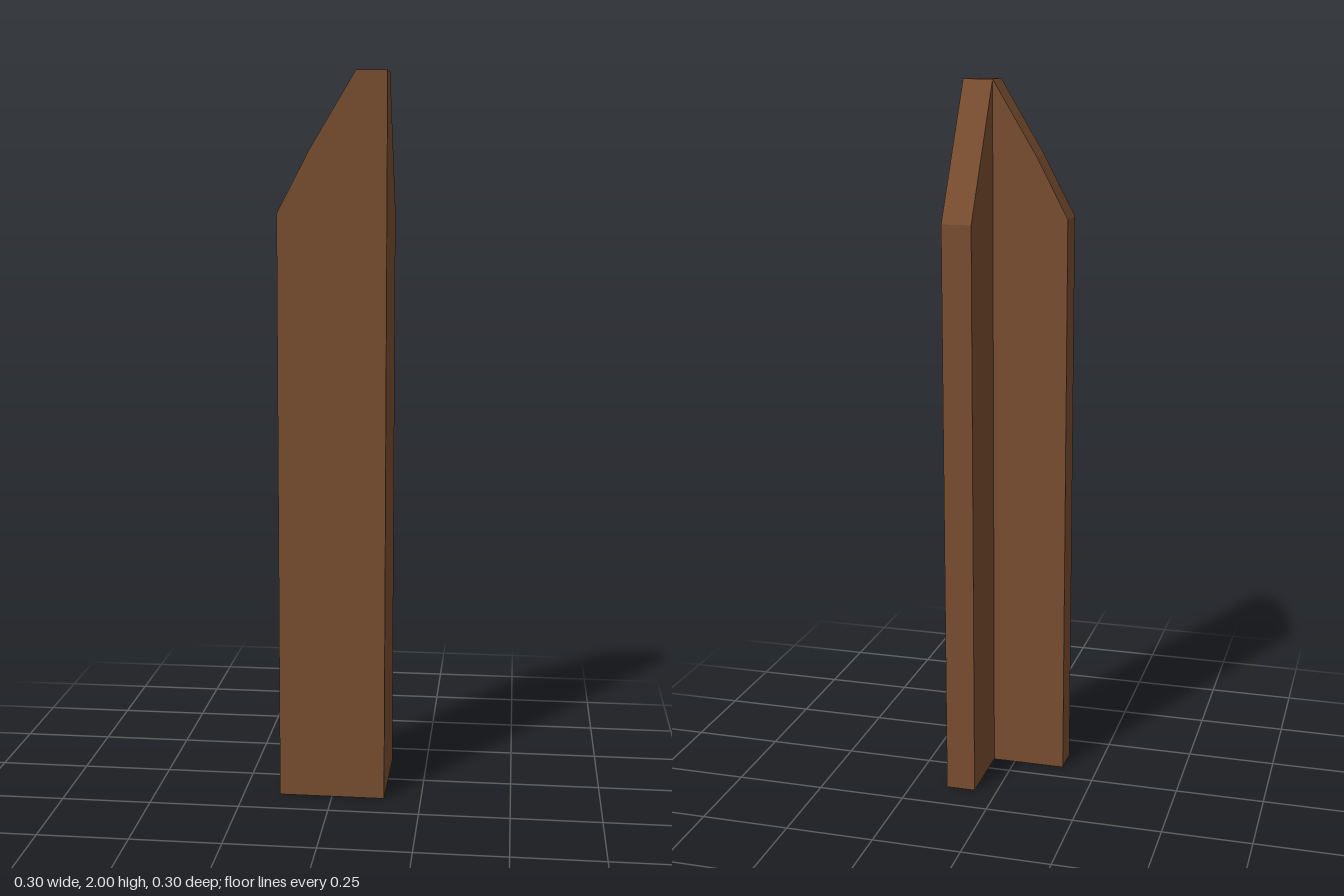
import * as THREE from 'three';

// Extrudes an upright board outline by its thickness
function board(name, points, thickness, material) {
  const shape = new THREE.Shape(points.map(([x, y]) => new THREE.Vector2(x, y)));
  const geometry = new THREE.ExtrudeGeometry(shape, { depth: thickness, bevelEnabled: false });
  const mesh = new THREE.Mesh(geometry, material);
  mesh.name = name;
  return mesh;
}

export function createModel() {
  const group = new THREE.Group();
  group.name = 'cornerPost';
  const wood = new THREE.MeshStandardMaterial({ color: 0x784d2f });

  // Front board, with the flat tip at the corner and a slightly bent slope
  const front = board('frontBoard', [
    [-0.148, 0], [0.147, 0], [0.147, 2], [0.064, 2], [-0.06, 1.795], [-0.148, 1.628],
  ], 0.087, wood);
  front.position.z = 0.062;

  // Side board running back from the corner, with a straight slope
  const side = board('sideBoard', [
    [-0.062, 0], [0.149, 0], [0.149, 1.63], [-0.062, 2],
  ], 0.083, wood);
  side.rotation.y = Math.PI / 2;
  side.position.x = 0.064;

  group.add(front, side);
  return group;
}
